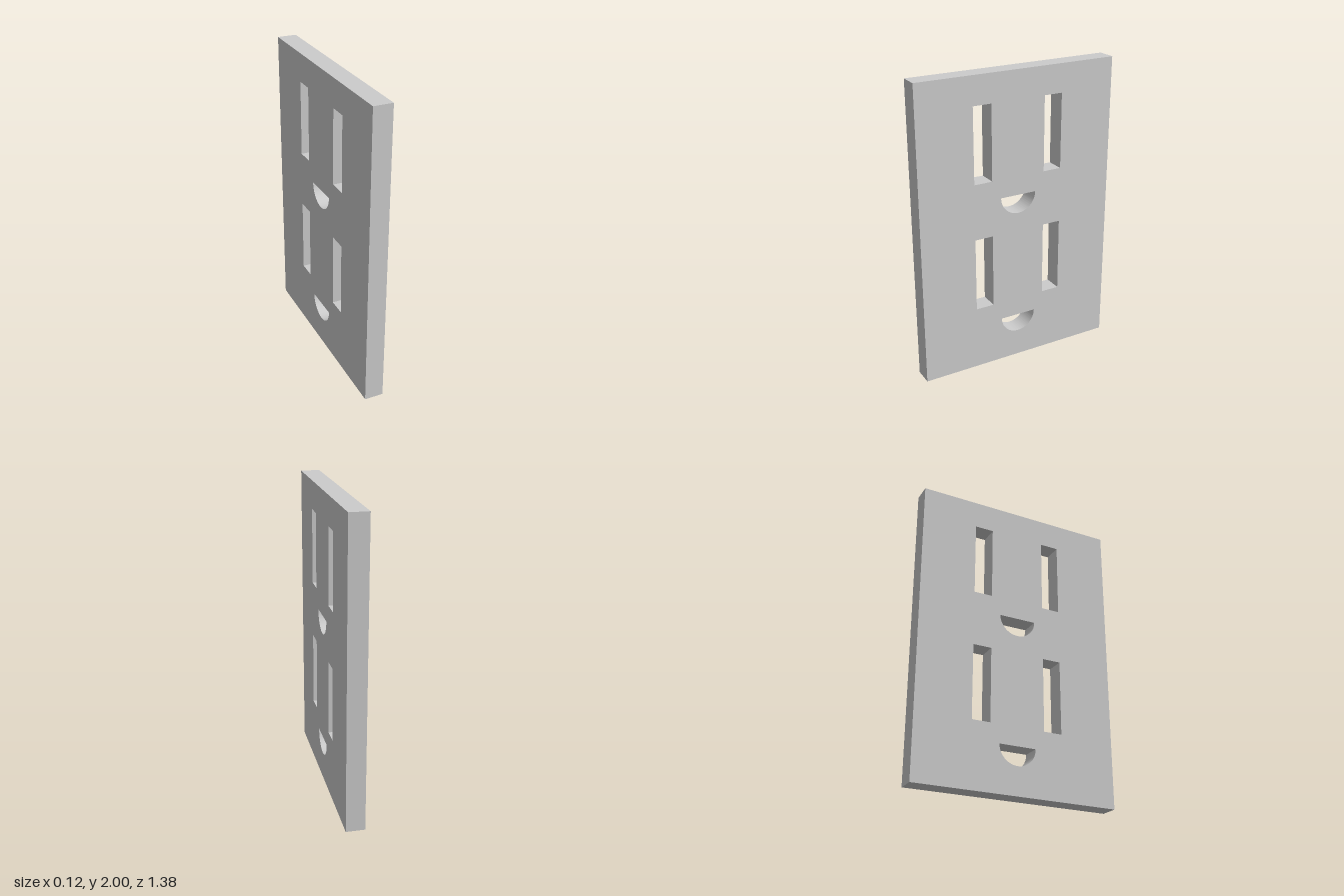
import * as THREE from 'three';
import { toCreasedNormals } from 'three/addons/utils/BufferGeometryUtils.js';

const WIDTH = 1.375, HEIGHT = 2, THICKNESS = 0.125;
const SLOT_WIDTH = 0.125, SLOT_HEIGHT = 0.5, SLOT_OFFSET = 0.25, PIN_RADIUS = 0.125;

// Closed rectangle, given its lower left corner
function rectangle(PathType, x, y, w, h) {
  const path = new PathType();
  path.moveTo(x, y);
  path.lineTo(x + w, y);
  path.lineTo(x + w, y + h);
  path.lineTo(x, y + h);
  path.closePath();
  return path;
}

// Half-round hole, flat side up
function halfRound(y, radius) {
  const path = new THREE.Path();
  path.moveTo(-radius, y);
  path.absarc(0, y, radius, Math.PI, Math.PI * 2, false);
  path.closePath();
  return path;
}

export function createModel() {
  const group = new THREE.Group();
  group.name = 'outletCover';

  const outline = rectangle(THREE.Shape, -WIDTH / 2, 0, WIDTH, HEIGHT);

  // Two sockets, each with a pair of slots above a half-round hole
  for (const base of [0.3125, 1.1875]) {
    for (const side of [-1, 1]) {
      outline.holes.push(rectangle(THREE.Path,
        side * SLOT_OFFSET - SLOT_WIDTH / 2, base + 0.125, SLOT_WIDTH, SLOT_HEIGHT));
    }
    outline.holes.push(halfRound(base, PIN_RADIUS));
  }

  // Extrude through the thickness, then turn the plate to face sideways
  const geometry = new THREE.ExtrudeGeometry(outline, {
    depth: THICKNESS, bevelEnabled: false, curveSegments: 32,
  });
  geometry.translate(0, 0, -THICKNESS / 2);
  geometry.rotateY(Math.PI / 2);

  const plate = new THREE.Mesh(
    toCreasedNormals(geometry, Math.PI / 6),
    new THREE.MeshStandardMaterial({ color: 0xcccccc }),
  );
  plate.name = 'wallPlate';
  group.add(plate);
  return group;
}
